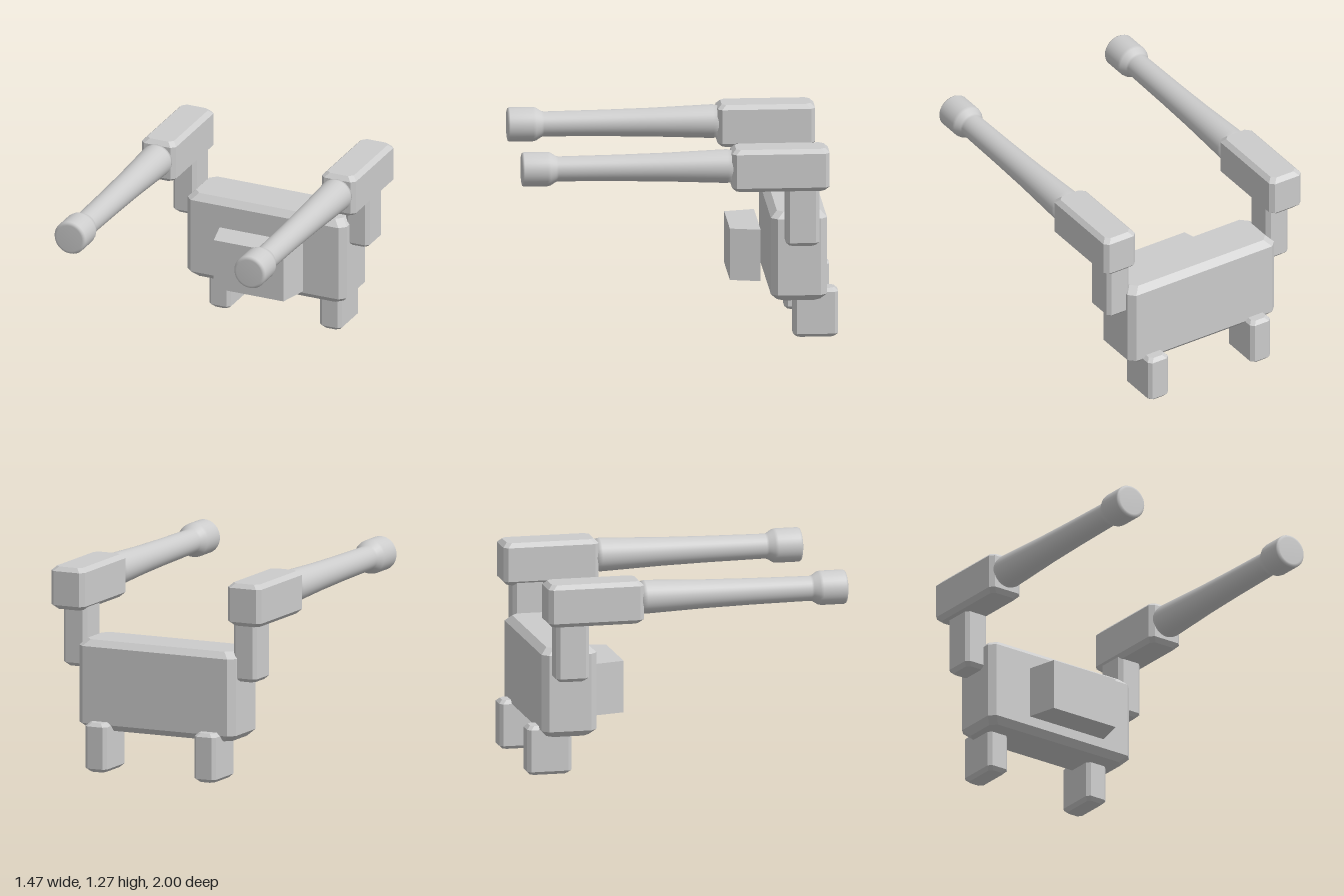
import * as THREE from 'three';

const grey = new THREE.MeshStandardMaterial({ color: 0xcccccc });
grey.name = 'plain grey';

// Box between two corners with every edge cut by c, shaded flat
function chamferBox(name, [x0, y0, z0], [x1, y1, z1], c) {
  const cx = (x0 + x1) / 2, cz = (z0 + z1) / 2;
  const hx = (x1 - x0) / 2, hz = (z1 - z0) / 2;
  const pos = [], index = [];
  const levels = [[y0, c], [y0 + c, 0], [y1 - c, 0], [y1, c]];
  for (const [y, inset] of levels) {
    const a = hx - inset, b = hz - inset;
    const ring = [[a, b - c], [a - c, b], [c - a, b], [-a, b - c],
      [-a, c - b], [c - a, -b], [a - c, -b], [a, c - b]];
    for (const [x, z] of ring) pos.push(cx + x, y, cz + z);
  }
  // side bands
  for (let r = 0; r < 3; r++) {
    for (let i = 0; i < 8; i++) {
      const a = r * 8 + i, b = r * 8 + (i + 1) % 8;
      index.push(a, a + 8, b, b, a + 8, b + 8);
    }
  }
  // bottom and top caps
  for (let i = 1; i < 7; i++) {
    index.push(0, i, i + 1);
    index.push(24, 24 + i + 1, 24 + i);
  }
  const indexed = new THREE.BufferGeometry();
  indexed.setAttribute('position', new THREE.Float32BufferAttribute(pos, 3));
  indexed.setIndex(index);
  // the ring runs from +x to +z, so reverse the winding where it faces inwards
  const geo = indexed.toNonIndexed();
  geo.computeVertexNormals();
  return named(name, geo);
}

function named(name, geo) {
  const mesh = new THREE.Mesh(geo, grey);
  mesh.name = name;
  return mesh;
}

// Tapered barrel with a flared muzzle, turned about z
function barrel(name, x, y) {
  const profile = [[0, -0.34], [0.095, -0.34], [0.106, -0.29], [0.09, 0.1], [0.083, 0.4],
    [0.078, 0.77], [0.082, 0.785], [0.104, 0.82], [0.108, 0.84], [0.108, 0.985],
    [0.102, 0.996], [0.087, 1], [0, 1]].map(([r, z]) => new THREE.Vector2(r, z));
  const geo = new THREE.LatheGeometry(profile, 32);
  geo.rotateX(Math.PI / 2);
  geo.translate(x, y, 0);
  return named(name, geo);
}

// Floating front plate, narrower towards the front
function frontPlate() {
  const shape = new THREE.Shape([[-0.24, 0.335], [0.24, 0.335], [0.287, 0.525], [-0.287, 0.525]]
    .map(([x, z]) => new THREE.Vector2(x, z)));
  const geo = new THREE.ExtrudeGeometry(shape, { depth: 0.33, bevelEnabled: false });
  geo.rotateX(-Math.PI / 2);
  geo.translate(0, 0.327, 0);
  return named('frontPlate', geo);
}

export function createModel() {
  const model = new THREE.Group();
  model.name = 'twinBarrelWalker';
  model.add(chamferBox('body', [-0.548, 0.253, -0.925], [0.548, 0.823, -0.573], 0.04));
  model.add(frontPlate());

  // mirrored limbs
  for (const [side, s] of [['left', 1], ['right', -1]]) {
    const pair = (name, xa, xb, ya, yb, za, zb, c) => chamferBox(side + name,
      [Math.min(s * xa, s * xb), ya, za], [Math.max(s * xa, s * xb), yb, zb], c);
    const limb = new THREE.Group();
    limb.name = side + 'Limbs';
    limb.add(
      pair('Leg', 0.307, 0.457, 0, 0.312, -1, -0.717, 0.022),
      pair('ShoulderPost', 0.513, 0.677, 0.635, 1.04, -0.866, -0.656, 0.023),
      pair('ArmBlock', 0.502, 0.737, 1.0, 1.27, -0.927, -0.315, 0.027),
      barrel(side + 'Barrel', s * 0.619, 1.148));
    model.add(limb);
  }
  return model;
}
